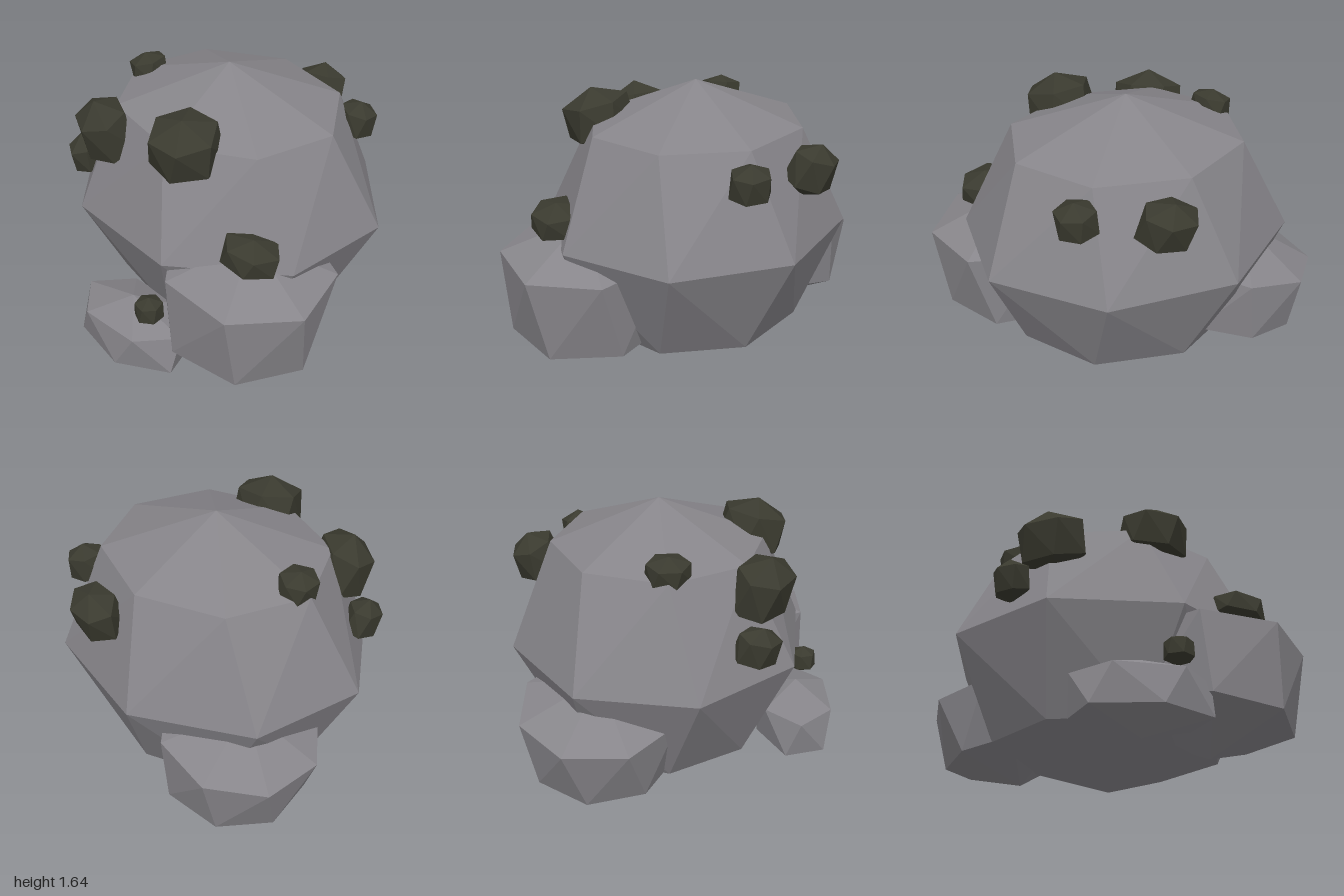
import * as THREE from 'three';
import { ConvexGeometry } from 'three/addons/geometries/ConvexGeometry.js';

const deg = Math.PI / 180;

// Faceted stone: two poles joined by rings of [height, radius, phase in degrees] in unit space
function stone(name, material, { at, size, sides, rings, tilt = [0, 0, 0] }) {
  const [rx, ry, rz] = size;
  const points = [new THREE.Vector3(0, ry, 0), new THREE.Vector3(0, -ry, 0)];
  for (const [y, r, phase] of rings) {
    for (let k = 0; k < sides; k++) {
      const a = (k / sides) * Math.PI * 2 + phase * deg;
      points.push(new THREE.Vector3(rx * r * Math.cos(a), ry * y, rz * r * Math.sin(a)));
    }
  }
  const mesh = new THREE.Mesh(new ConvexGeometry(points), material);
  mesh.name = name;
  mesh.position.set(...at);
  mesh.rotation.set(...tilt);
  return mesh;
}

export function createModel() {
  const group = new THREE.Group();
  group.name = 'boulderCluster';

  const rock = new THREE.MeshStandardMaterial({ color: 0x87858a });
  rock.name = 'grey rock';
  const ore = new THREE.MeshStandardMaterial({ color: 0x3a3a2f });
  ore.name = 'dark ore';

  // Main boulder, its middle ring twisted against the other two
  group.add(stone('mainBoulder', rock, {
    at: [-0.01, 0.827, -0.1], size: [0.97, 0.818, 0.873], sides: 8,
    rings: [[0.71, 0.71, -6], [0, 1, -15], [-0.71, 0.71, -6]],
  }));

  // Smaller boulders leaning against it
  group.add(stone('sideBoulder', rock, {
    at: [0.51, 0.515, 0.35], size: [0.57, 0.425, 0.56], sides: 7,
    rings: [[0.57, 0.87, 14], [-0.53, 0.83, 3]], tilt: [0, 0, -0.1],
  }));
  group.add(stone('rearBoulder', rock, {
    at: [-0.56, 0.47, -0.42], size: [0.53, 0.36, 0.53], sides: 8,
    rings: [[0.5, 0.87, 22], [-0.5, 0.8, 8]], tilt: [0, 0, 0.2],
  }));
  group.add(stone('frontBoulder', rock, {
    at: [-0.005, 0.257, 0.735], size: [0.43, 0.215, 0.265], sides: 6,
    rings: [[0.5, 0.87, 0], [-0.5, 0.9, 20]],
  }));

  // Dark ore lumps: centre, half extents, tilt
  const lumps = [
    [[-0.45, 1.28, 0.46], [0.23, 0.2, 0.17], [0.35, -0.5, 0.2]],
    [[0.15, 1.41, 0.44], [0.22, 0.18, 0.22], [0.25, 0.3, -0.1]],
    [[-0.6, 1.44, -0.04], [0.12, 0.09, 0.135], [0, 0.2, 0.2]],
    [[-0.665, 1.03, 0.43], [0.11, 0.13, 0.14], [0.2, 0.4, 0.15]],
    [[0.64, 0.95, 0.465], [0.185, 0.1, 0.16], [0, 0.3, -0.15]],
    [[0.185, 0.515, 0.795], [0.09, 0.085, 0.09], [0, 0.2, 0]],
    [[0.12, 1.24, -0.83], [0.18, 0.155, 0.14], [-0.3, -0.2, 0.1]],
    [[0.53, 1.26, -0.615], [0.13, 0.12, 0.12], [-0.2, -0.6, -0.2]],
  ];
  lumps.forEach(([at, size, tilt], i) => group.add(stone('oreLump' + (i + 1), ore, {
    at, size, tilt, sides: 6, rings: [[0.55, 0.88, i * 17], [-0.5, 0.93, i * 17 + 14]],
  })));

  return group;
}
